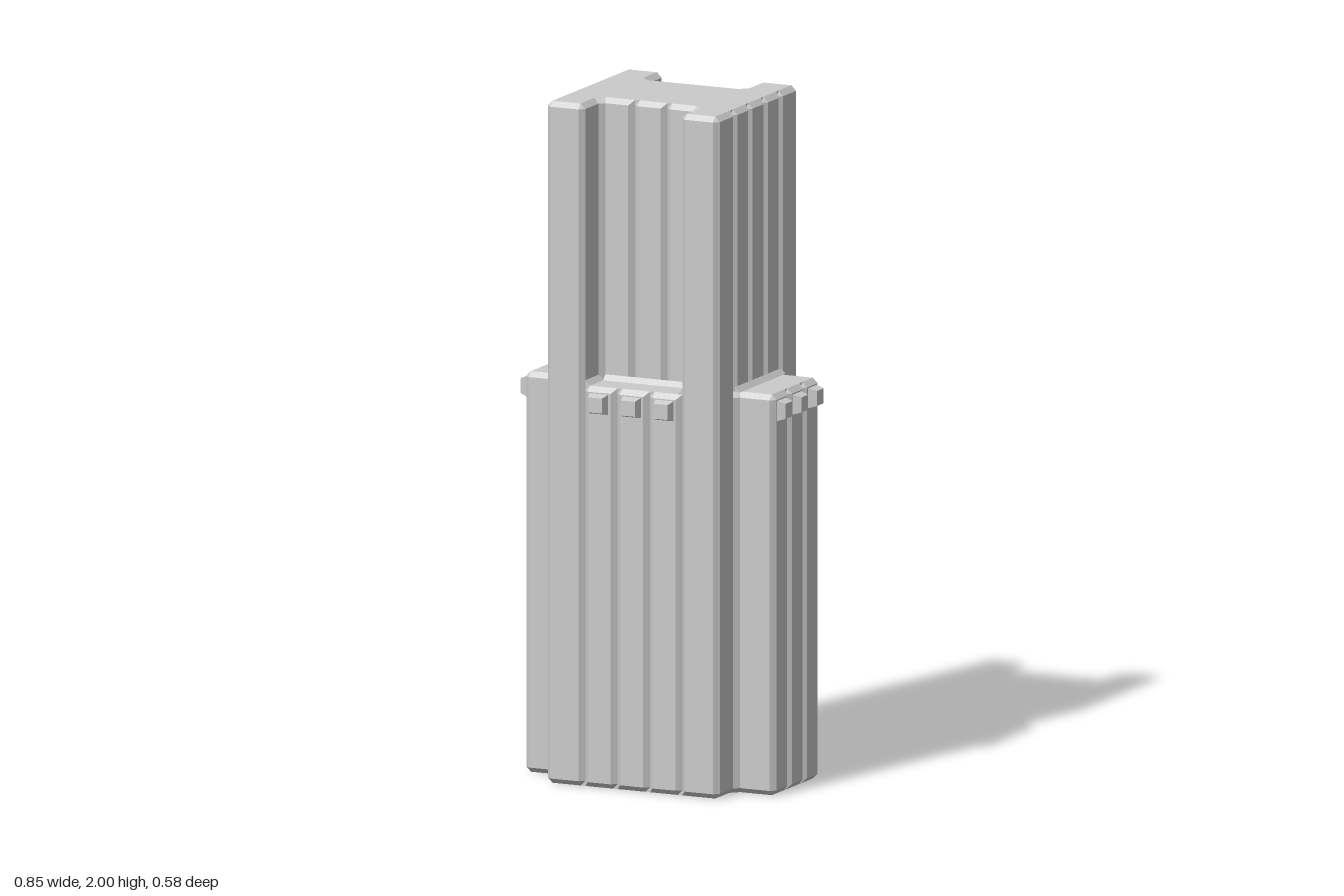
import * as THREE from 'three';

const B = 0.015; // chamfer width used everywhere
const material = new THREE.MeshStandardMaterial({ color: 0xcccccc, flatShading: true, side: THREE.DoubleSide });

// Quarter outlines: [x, z, x at the end cap, z at the end cap]
const lowerQuarter = [
  [0.037, 0.265, 0.037, 0.25], [0.052, 0.25, 0.052, 0.25], [0.067, 0.265, 0.067, 0.25],
  [0.14, 0.265, 0.14, 0.25], [0.155, 0.25, 0.155, 0.25], [0.17, 0.265, 0.17, 0.25],
  [0.26, 0.265, 0.26, 0.25], [0.275, 0.25, 0.26, 0.25],
  [0.275, 0.165, 0.26, 0.159], [0.29, 0.15, 0.284, 0.135],
  [0.385, 0.15, 0.385, 0.135], [0.4, 0.135, 0.385, 0.135],
  [0.4, 0.065, 0.385, 0.065], [0.385, 0.05, 0.385, 0.05], [0.4, 0.035, 0.385, 0.035],
];
const upperQuarter = [
  [0.037, 0.15, 0.037, 0.135], [0.052, 0.135, 0.052, 0.135], [0.067, 0.15, 0.067, 0.135],
  [0.14, 0.15, 0.146, 0.135], [0.155, 0.165, 0.17, 0.159],
  [0.155, 0.25, 0.17, 0.25], [0.17, 0.265, 0.17, 0.25],
  [0.26, 0.265, 0.26, 0.25], [0.275, 0.25, 0.26, 0.25],
  [0.275, 0.165, 0.26, 0.165], [0.26, 0.15, 0.26, 0.15], [0.275, 0.135, 0.26, 0.135],
  [0.275, 0.065, 0.26, 0.065], [0.26, 0.05, 0.26, 0.05], [0.275, 0.035, 0.26, 0.035],
];

// Mirror a quarter outline into a full loop, counterclockwise from above
function fullLoop(quarter) {
  const flip = (sx, sz) => quarter.map(([x, z, cx, cz]) => [x * sx, z * sz, cx * sx, cz * sz]);
  return [...flip(1, 1), ...flip(1, -1).reverse(), ...flip(-1, -1), ...flip(-1, 1).reverse()];
}

// Grooved prism with chamfered ends
function chamferedPrism(quarter, y0, y1) {
  const loop = fullLoop(quarter);
  const n = loop.length;
  const body = (y) => loop.map((p) => [p[0], y, p[1]]);
  const cap = (y) => loop.map((p) => [p[2], y, p[3]]);
  const rings = [cap(y0), body(y0 + B), body(y1 - B), cap(y1)];
  const index = [];
  for (let r = 0; r < 3; r++) {
    for (let i = 0; i < n; i++) {
      const j = (i + 1) % n;
      const a = r * n + i, b = r * n + j, c = b + n, d = a + n;
      index.push(a, b, c, a, c, d);
    }
  }
  const contour = loop.map((p) => new THREE.Vector2(p[3], p[2]));
  for (const [a, b, c] of THREE.ShapeUtils.triangulateShape(contour, [])) {
    index.push(3 * n + a, 3 * n + b, 3 * n + c, a, c, b);
  }
  const indexed = new THREE.BufferGeometry();
  indexed.setAttribute('position', new THREE.Float32BufferAttribute(rings.flat(2), 3));
  indexed.setIndex(index);
  const geometry = indexed.toNonIndexed();
  geometry.computeVertexNormals();
  return geometry;
}

// Triangular strip filling the corner between a floor and a wall
function cornerStrip(length) {
  const triangle = new THREE.Shape([[0, 0], [B, 0], [0, B]].map(([x, y]) => new THREE.Vector2(x, y)));
  const geometry = new THREE.ExtrudeGeometry(triangle, { depth: length, bevelEnabled: false });
  return geometry.translate(0, 0, -length / 2);
}

export function createModel() {
  const model = new THREE.Group();
  const add = (name, geometry, x = 0, y = 0, z = 0, turn = 0) => {
    const mesh = new THREE.Mesh(geometry, material);
    mesh.name = name;
    mesh.position.set(x, y, z);
    mesh.rotation.y = turn;
    model.add(mesh);
  };
  const ledge = 1.175;

  // Main tower sections
  add('lowerTower', chamferedPrism(lowerQuarter, 0, ledge));
  add('upperTower', chamferedPrism(upperQuarter, 1.13, 2));

  // Tapered square studs just below the ledges
  const stud = new THREE.CylinderGeometry(0.022 * Math.SQRT2, 0.03 * Math.SQRT2, 0.026, 4)
    .rotateY(Math.PI / 4).rotateX(Math.PI / 2).translate(0, 0, 0.011);
  // Strips where the ledges meet the upper walls
  const wingStrip = cornerStrip(0.3);
  const recessStrip = cornerStrip(0.28);
  const jambStrip = cornerStrip(0.1);

  for (const s of [1, -1]) {
    for (const i of [-1, 0, 1]) {
      add('faceStud', stud, i * 0.105, 1.127, s * 0.265, s > 0 ? 0 : Math.PI);
      add('wingStud', stud, s * 0.4, 1.127, i * 0.102, s * Math.PI / 2);
    }
    add('wingLedgeStrip', wingStrip, s * 0.275, ledge, 0, s > 0 ? 0 : Math.PI);
    add('recessLedgeStrip', recessStrip, 0, ledge, s * 0.15, -s * Math.PI / 2);
    for (const t of [1, -1]) {
      add('recessSideStrip', jambStrip, t * 0.155, ledge, s * 0.2, t > 0 ? Math.PI : 0);
    }
  }
  return model;
}
